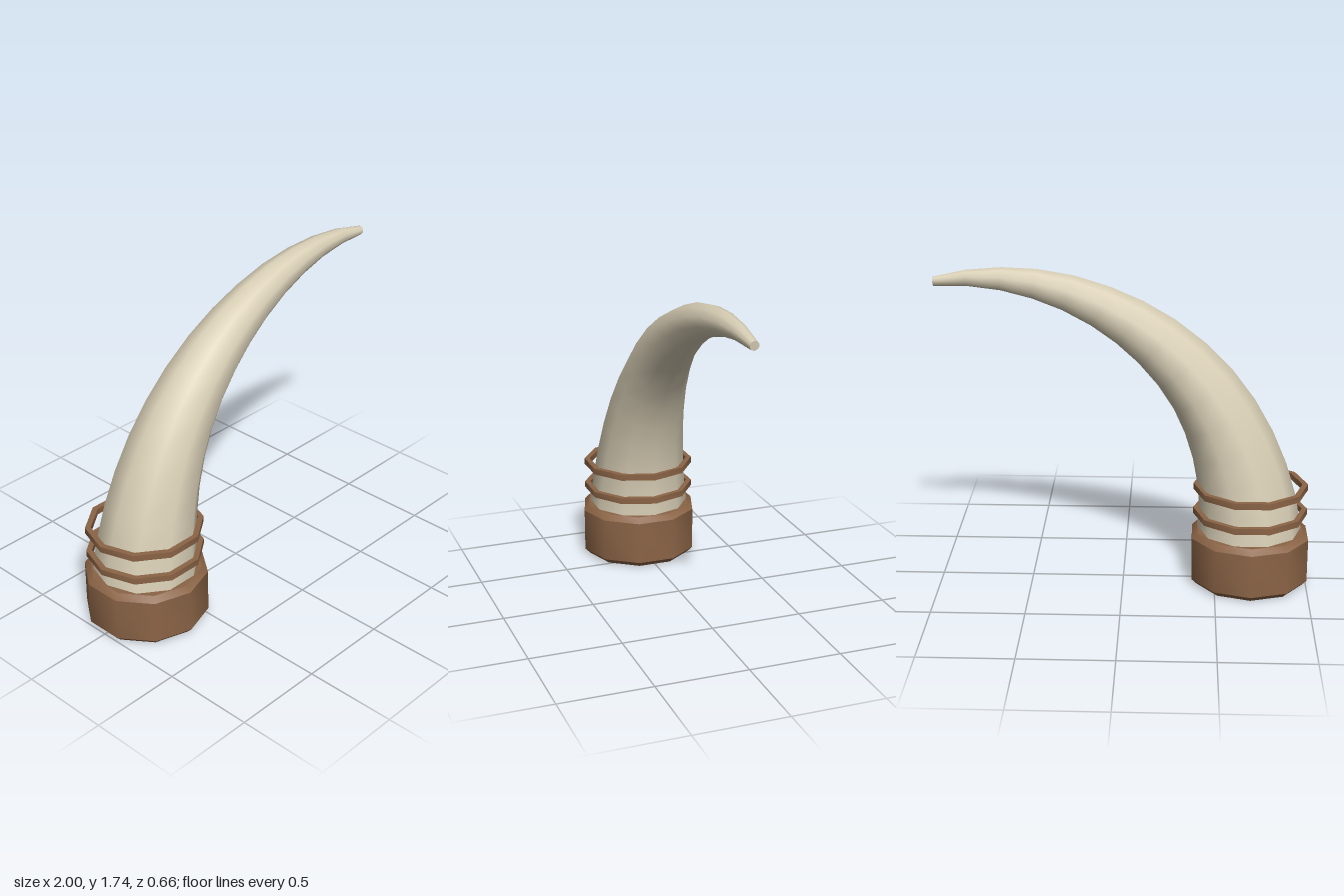
import * as THREE from 'three';
import { toCreasedNormals } from 'three/addons/utils/BufferGeometryUtils.js';

const SIDES = 10;
const AXIS_X = -0.69; // centre of the base and rings

// Ten-sided turned part: smooth around, sharp along its rims
function turned(profile, turn = 0) {
  const points = profile.map(([r, y]) => new THREE.Vector2(r, y));
  const geometry = new THREE.LatheGeometry(points, SIDES);
  geometry.rotateY(turn);
  return toCreasedNormals(geometry, 0.72);
}

// Tapering ten-sided horn swept along a curve in the xy plane
function hornGeometry() {
  const path = [
    [-0.69, 0.27], [-0.675, 0.445], [-0.64, 0.615], [-0.587, 0.78], [-0.515, 0.94],
    [-0.425, 1.087], [-0.31, 1.227], [-0.175, 1.353], [-0.033, 1.455], [0.12, 1.54],
    [0.29, 1.61], [0.465, 1.657], [0.64, 1.682], [0.82, 1.685], [0.995, 1.665],
  ].map(([x, y]) => new THREE.Vector2(x, y));
  const last = path.length - 1;
  const positions = [];
  const indices = [];

  const addSection = (i) => {
    const tangent = path[Math.min(i + 1, last)].clone().sub(path[Math.max(i - 1, 0)]).normalize();
    if (i === 0) tangent.set(0, 1);
    const radius = THREE.MathUtils.lerp(0.283, 0.025, i / last);
    for (let j = 0; j < SIDES; j++) {
      const a = (j / SIDES) * Math.PI * 2;
      const out = Math.cos(a) * radius;
      positions.push(path[i].x - tangent.y * out, path[i].y + tangent.x * out, Math.sin(a) * radius);
    }
  };

  for (let i = 0; i <= last; i++) {
    addSection(i);
    if (i === last) break;
    for (let j = 0; j < SIDES; j++) {
      const k = (j + 1) % SIDES;
      const a = i * SIDES + j, b = i * SIDES + k;
      indices.push(a, b, b + SIDES, a, b + SIDES, a + SIDES);
    }
  }

  // Flat tip with its own vertices, so that its rim stays sharp
  const start = positions.length / 3;
  addSection(last);
  positions.push(path[last].x, path[last].y, 0);
  for (let j = 0; j < SIDES; j++) {
    indices.push(start + SIDES, start + j, start + (j + 1) % SIDES);
  }

  const geometry = new THREE.BufferGeometry();
  geometry.setAttribute('position', new THREE.Float32BufferAttribute(positions, 3));
  geometry.setIndex(indices);
  geometry.computeVertexNormals();
  return geometry;
}

export function createModel() {
  const ivory = new THREE.MeshStandardMaterial({ color: 0xd9cfb6 });
  ivory.name = 'ivory';
  const leather = new THREE.MeshStandardMaterial({ color: 0x8b6446 });
  leather.name = 'brown leather';

  const model = new THREE.Group();
  model.name = 'hornWithBase';
  const add = (name, geometry, material, x = 0, y = 0) => {
    const mesh = new THREE.Mesh(geometry, material);
    mesh.name = name;
    mesh.position.set(x, y, 0);
    model.add(mesh);
  };

  add('horn', hornGeometry(), ivory);

  // Bevelled base cuff
  const cuff = [[0, 0], [0.3, 0], [0.33, 0.03], [0.33, 0.27], [0.3, 0.3], [0, 0.3]];
  add('baseCuff', turned(cuff), leather, AXIS_X);

  // Two loose square-section bands, turned half a side from the cuff
  const band = [[0.28, -0.017], [0.31, -0.017], [0.31, 0.017], [0.28, 0.017], [0.28, -0.017]];
  const bandGeometry = turned(band, Math.PI / SIDES);
  add('lowerBand', bandGeometry, leather, AXIS_X, 0.398);
  add('upperBand', bandGeometry, leather, AXIS_X, 0.54);

  return model;
}
